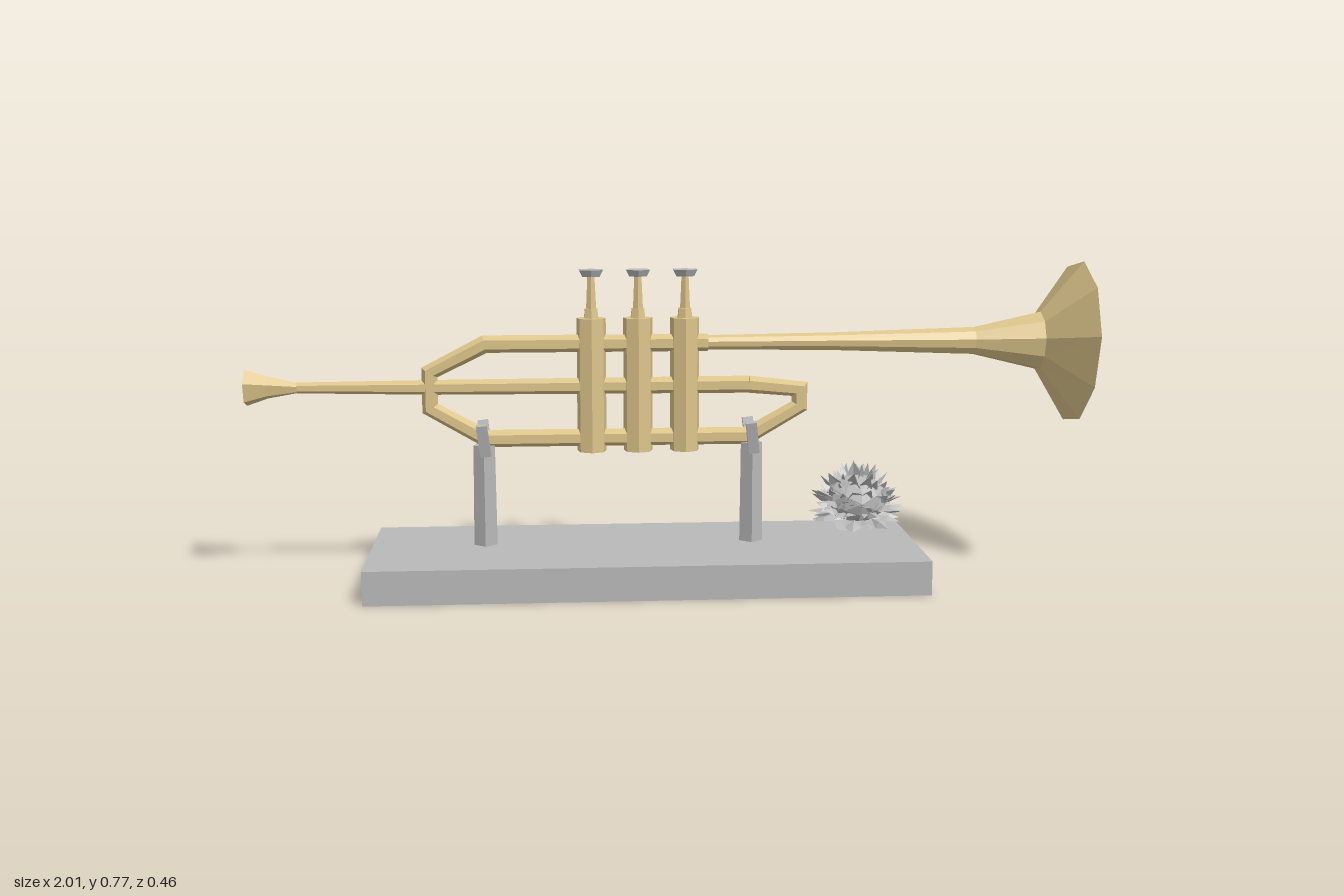
import * as THREE from 'three';

const Z = 0.02; // plane of the instrument

function makeMaterial(name, color) {
  const m = new THREE.MeshStandardMaterial({ color, flatShading: true, side: THREE.DoubleSide });
  m.name = name;
  return m;
}

function geometryFrom(positions) {
  const g = new THREE.BufferGeometry();
  g.setAttribute('position', new THREE.Float32BufferAttribute(positions, 3));
  g.computeVertexNormals();
  return g;
}

// Mitred low-poly pipe through [x, y, radius] stations in the plane z = Z
function pipe(stations, sides, turn = 0) {
  const pts = stations.map(([x, y]) => new THREE.Vector2(x, y));
  const dirs = pts.slice(1).map((p, i) => p.clone().sub(pts[i]).normalize());
  const rings = stations.map(([x, y, r], i) => {
    const a = dirs[Math.max(i - 1, 0)], b = dirs[Math.min(i, dirs.length - 1)];
    const t = a.clone().add(b).normalize();
    const stretch = 1 / Math.max(t.dot(a), 0.6);
    return Array.from({ length: sides }, (_, j) => {
      const ang = turn + (j / sides) * Math.PI * 2;
      const c = Math.cos(ang) * r * stretch;
      return [x - t.y * c, y + t.x * c, Z + Math.sin(ang) * r];
    });
  });
  const out = [];
  const tri = (...v) => v.forEach((p) => out.push(...p));
  const last = rings.length - 1;
  for (let j = 0; j < sides; j++) {
    const k = (j + 1) % sides;
    for (let i = 0; i < last; i++) {
      tri(rings[i][j], rings[i][k], rings[i + 1][j]);
      tri(rings[i][k], rings[i + 1][k], rings[i + 1][j]);
    }
    tri([stations[0][0], stations[0][1], Z], rings[0][k], rings[0][j]);
    tri([stations[last][0], stations[last][1], Z], rings[last][j], rings[last][k]);
  }
  return geometryFrom(out);
}

// Rosette of pointed, folded petals in tiers around a dome
function petals() {
  let seed = 7;
  const rnd = () => (seed = (seed * 16807) % 2147483647) / 2147483647;
  const out = [];
  const tiers = [[-20, 14], [-4, 18], [12, 18], [28, 16], [44, 13], [60, 9], [78, 5]];
  tiers.forEach(([elevation, count], tier) => {
    for (let i = 0; i < count; i++) {
      const az = ((i + (tier % 2) * 0.5 + (rnd() - 0.5) * 0.5) / count) * Math.PI * 2;
      const el = THREE.MathUtils.degToRad(elevation + (rnd() - 0.5) * 12);
      const reach = 0.108 + rnd() * 0.017;
      const w = 0.014 + rnd() * 0.008;
      const m = new THREE.Matrix4().makeRotationY(az)
        .multiply(new THREE.Matrix4().makeRotationZ(el))
        .multiply(new THREE.Matrix4().makeRotationX((rnd() - 0.5) * 1.4));
      const p = (x, y, z) => new THREE.Vector3(x, y, z).applyMatrix4(m).toArray();
      const root = p(0.055, 0, 0), tip = p(reach, 0.006, 0), ridge = p(0.085, 0.009, 0);
      const l = p(0.088, 0, w), r = p(0.088, 0, -w);
      out.push(...root, ...l, ...ridge, ...ridge, ...l, ...tip);
      out.push(...root, ...ridge, ...r, ...ridge, ...tip, ...r);
    }
  });
  return geometryFrom(out);
}

export function createModel() {
  const model = new THREE.Group();
  model.name = 'trumpetOnStand';
  const brass = makeMaterial('brass', 0xdcc48a);
  const grey = makeMaterial('grey', 0xb8b8b8);

  const add = (name, geometry, material, x = 0, y = 0, z = 0, parent = model) => {
    const mesh = new THREE.Mesh(geometry, material);
    mesh.name = name;
    mesh.position.set(x, y, z);
    parent.add(mesh);
    return mesh;
  };

  // Plinth
  add('base', new THREE.BoxGeometry(1.33, 0.082, 0.433), grey, -0.052, 0.041, 0.02);

  // Mouthpiece and leadpipe
  add('mouthpiece', pipe([[-1, 0.48, 0.046], [-0.95, 0.48, 0.028], [-0.88, 0.478, 0.013]], 6, 0.2), brass);
  add('leadpipe', pipe([[-0.88, 0.478, 0.013], [-0.55, 0.476, 0.018], [0.2, 0.476, 0.021]], 6), brass);

  // Tuning slide, lower pipe, rear bow and upper pipe
  add('bowedTube', pipe([
    [0.2, 0.476, 0.021], [0.325, 0.463, 0.019], [0.325, 0.422, 0.019], [0.2, 0.35, 0.021],
    [-0.435, 0.35, 0.021], [-0.567, 0.425, 0.019], [-0.567, 0.512, 0.019],
    [-0.435, 0.579, 0.021], [0.1, 0.579, 0.021],
  ], 6), brass);

  // Flared bell with a closed face
  add('bell', pipe([
    [0.1, 0.579, 0.018], [0.4, 0.579, 0.022], [0.75, 0.578, 0.034],
    [0.91, 0.577, 0.072], [1, 0.573, 0.2],
  ], 10, 0.14), brass);

  // Valves: casing, collar, stem and finger button
  [-0.18, -0.068, 0.045].forEach((x, i) => {
    const valve = new THREE.Group();
    valve.name = 'valve' + (i + 1);
    valve.position.set(x, 0, Z - 0.002);
    model.add(valve);
    add('casing', new THREE.CylinderGeometry(0.036, 0.036, 0.323, 7), brass, 0, 0.478, 0, valve);
    add('collar', new THREE.CylinderGeometry(0.017, 0.02, 0.025, 6), brass, 0, 0.65, 0, valve);
    add('stem', new THREE.CylinderGeometry(0.009, 0.013, 0.085, 5), brass, 0, 0.697, 0, valve);
    add('button', new THREE.CylinderGeometry(0.033, 0.024, 0.016, 6), grey, 0, 0.747, 0, valve);
  });

  // Posts with a forked cradle
  [-0.44, 0.207].forEach((x, i) => {
    const post = new THREE.Group();
    post.name = i ? 'leftPost' : 'rightPost';
    post.position.set(x, 0, Z);
    model.add(post);
    const column = new THREE.CylinderGeometry(0.033, 0.036, 0.245, 5);
    column.scale(0.82, 1, 0.95);
    add('column', column, grey, 0, 0.2125, 0, post);
    for (const s of [-1, 1]) {
      const prong = add('prong', new THREE.BoxGeometry(0.026, 0.08, 0.014), grey, 0, 0.35, s * 0.032, post);
      prong.rotation.set(s * 0.22, 0, 0.12);
    }
  });

  // Ornamental rosette on the plinth
  const rosette = new THREE.Group();
  rosette.name = 'rosette';
  rosette.position.set(0.495, 0.135, -0.11);
  model.add(rosette);
  const core = new THREE.IcosahedronGeometry(0.08, 1);
  core.scale(1, 0.9, 1);
  core.translate(0, 0.035 - 0.005, 0);
  core.scale(1, 0.85, 1);
  add('core', core, grey, 0, 0, 0, rosette);
  add('petals', petals(), grey, 0, 0, 0, rosette);

  return model;
}
